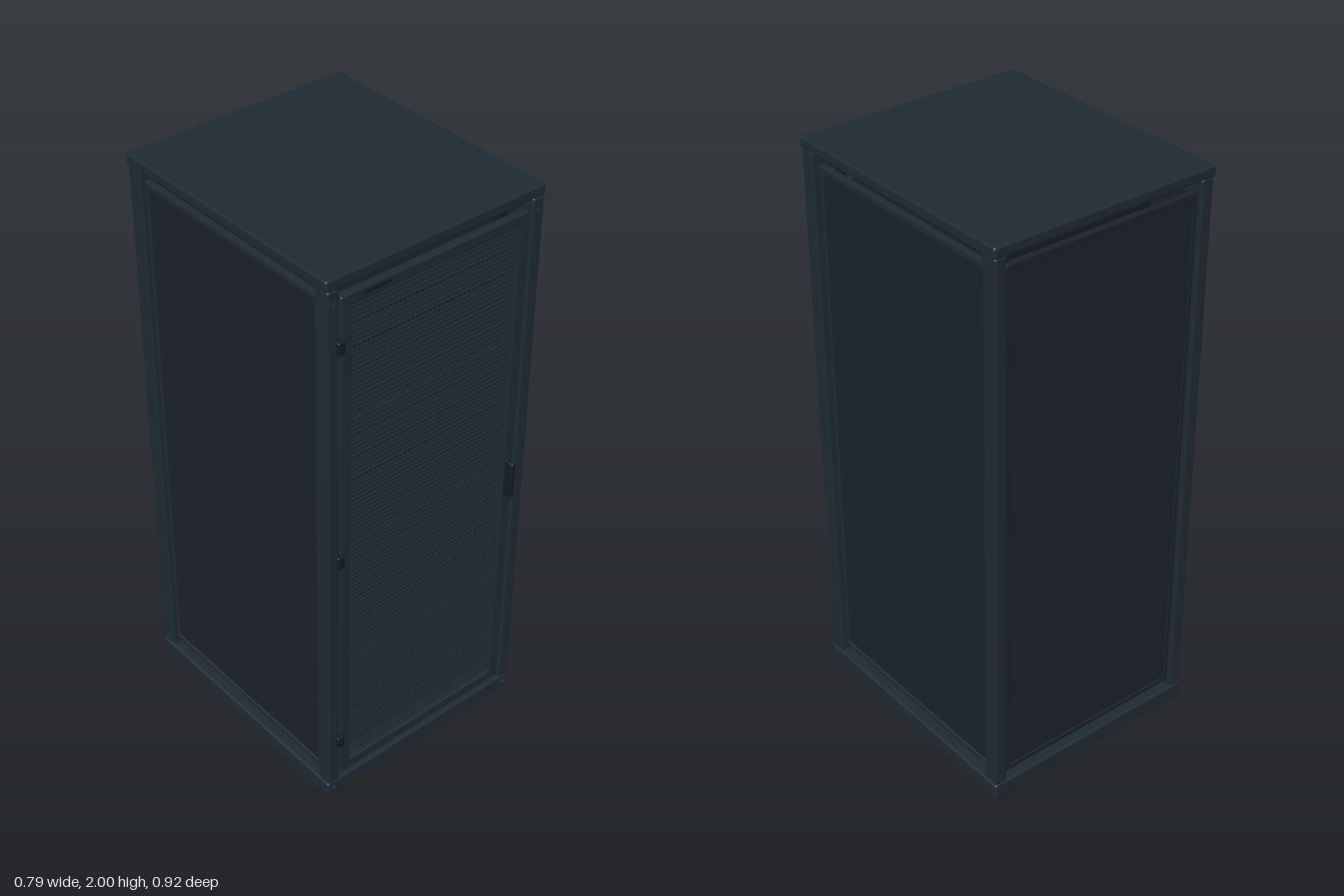
import * as THREE from 'three';
import { mergeGeometries } from 'three/addons/utils/BufferGeometryUtils.js';
import { RoundedBoxGeometry } from 'three/addons/geometries/RoundedBoxGeometry.js';

function material(name, color) {
  const m = new THREE.MeshStandardMaterial({ color });
  m.name = name;
  return m;
}

// Box given by its limits on each axis; r > 0 rounds the edges.
// Always non-indexed, so plain and rounded boxes can be merged.
function box([x0, x1], [y0, y1], [z0, z1], r = 0) {
  const size = [x1 - x0, y1 - y0, z1 - z0];
  const g = r ? new RoundedBoxGeometry(...size, 2, r) : new THREE.BoxGeometry(...size).toNonIndexed();
  return g.translate((x0 + x1) / 2, (y0 + y1) / 2, (z0 + z1) / 2);
}

export function createModel() {
  const model = new THREE.Group();
  model.name = 'serverCabinet';
  const steel = material('slate steel', 0x1f2a33);
  const panel = material('panel steel', 0x1b222b);
  const dark = material('dark metal', 0x151b21);

  const add = (name, geometries, mat) => {
    const list = [].concat(geometries);
    const mesh = new THREE.Mesh(list.length > 1 ? mergeGeometries(list) : list[0], mat);
    mesh.name = name;
    model.add(mesh);
  };

  // Top and base slabs
  add('topSlab', box([-0.397, 0.397], [1.963, 2], [-0.46, 0.433], 0.008), steel);
  add('baseSlab', box([-0.397, 0.397], [0.055, 0.112], [-0.46, 0.433], 0.008), steel);

  // Corner posts and feet
  for (const s of [-1, 1]) {
    const side = s < 0 ? 'right' : 'left';
    const xs = (a, b) => (s > 0 ? [a, b] : [-b, -a]);
    add(side + 'FrontPost', box(xs(0.35, 0.392), [0.11, 1.965], [0.38, 0.433], 0.008), steel);
    add(side + 'BackPost', box(xs(0.35, 0.392), [0.11, 1.965], [-0.457, -0.4], 0.008), steel);
    for (const z of [0.358, -0.38]) {
      add(side + 'Foot', [
        box(xs(0.294, 0.354), [0, 0.046], [z - 0.032, z + 0.032], 0.008),
        box(xs(0.309, 0.339), [0.04, 0.06], [z - 0.016, z + 0.016]),
      ], steel);
    }

    // Side panel with a thin folded rim
    add(side + 'SidePanel', box(xs(0.357, 0.372), [0.145, 1.92], [-0.395, 0.367]), panel);
    add(side + 'SidePanelRim', [
      box(xs(0.355, 0.378), [1.903, 1.925], [-0.402, 0.37], 0.004),
      box(xs(0.355, 0.378), [0.138, 0.158], [-0.402, 0.37], 0.004),
      box(xs(0.355, 0.376), [0.15, 1.91], [-0.402, -0.388], 0.004),
      box(xs(0.355, 0.376), [0.15, 1.91], [0.358, 0.369], 0.004),
    ], steel);

    // Mounting rail inside the cabinet
    add(side + 'MountingRail', box(xs(0.315, 0.338), [0.14, 1.92], [0.32, 0.345]), dark);
  }

  // Back panel with a thin rim
  add('backPanel', box([-0.343, 0.343], [0.14, 1.925], [-0.442, -0.425]), panel);
  add('backPanelRim', [
    box([-0.345, 0.345], [1.908, 1.928], [-0.446, -0.424], 0.004),
    box([-0.345, 0.345], [0.137, 0.157], [-0.446, -0.424], 0.004),
    box([-0.345, -0.33], [0.15, 1.915], [-0.446, -0.424], 0.004),
    box([0.33, 0.345], [0.15, 1.915], [-0.446, -0.424], 0.004),
  ], panel);

  // Stack of equipment units: faceplate, deep body and a slim front ledge
  const count = 22, pitch = 0.0765, start = 0.185;
  const plates = [], bodies = [], ledges = [];
  for (let i = 0; i < count; i++) {
    const y = start + i * pitch;
    plates.push(box([-0.328, 0.328], [y, y + pitch - 0.01], [0.352, 0.385]));
    bodies.push(box([-0.305, 0.305], [y + 0.003, y + pitch - 0.013], [-0.3, 0.352]));
    ledges.push(box([-0.3, 0.3], [y + 0.004, y + 0.012], [0.385, 0.392]));
  }
  add('unitFaceplates', plates, steel);
  add('unitBodies', bodies, dark);
  add('unitLedges', ledges, dark);

  // Door frame
  const doorZ = [0.403, 0.432];
  add('doorFrame', [
    box([-0.345, -0.308], [0.135, 1.932], doorZ, 0.006),
    box([0.304, 0.341], [0.135, 1.932], doorZ, 0.006),
    box([-0.34, 0.336], [1.895, 1.932], doorZ, 0.006),
    box([-0.34, 0.336], [0.135, 0.172], doorZ, 0.006),
  ], steel);

  // Door mesh of crossing wires
  const wires = [];
  for (let i = 0; i <= 38; i++) {
    const x = -0.306 + (i * 0.61) / 38;
    wires.push(box([x - 0.002, x + 0.002], [0.168, 1.9], [0.412, 0.416]));
  }
  for (let i = 0; i <= 110; i++) {
    const y = 0.172 + (i * 1.723) / 110;
    wires.push(box([-0.31, 0.306], [y - 0.002, y + 0.002], [0.416, 0.42]));
  }
  add('doorMesh', wires, steel);

  // Hinges, handle and door details
  for (const y of [0.287, 1.03, 1.78]) {
    add('hinge', box([-0.364, -0.338], [y - 0.022, y + 0.022], [0.42, 0.444], 0.005), dark);
  }
  add('handle', [
    box([0.308, 0.332], [0.93, 1.07], [0.43, 0.44], 0.004),
    box([0.312, 0.328], [0.935, 1.065], [0.436, 0.461], 0.006),
  ], dark);
  add('nameplate', box([-0.268, -0.178], [1.917, 1.928], [0.43, 0.441]), dark);

  // Small bolts on the front corners
  const bolts = [];
  for (const x of [-0.371, 0.371]) for (const y of [0.085, 1.922]) {
    bolts.push(new THREE.CylinderGeometry(0.008, 0.008, 0.01, 12).rotateX(Math.PI / 2).translate(x, y, 0.435));
  }
  add('bolts', bolts, steel);
  return model;
}
